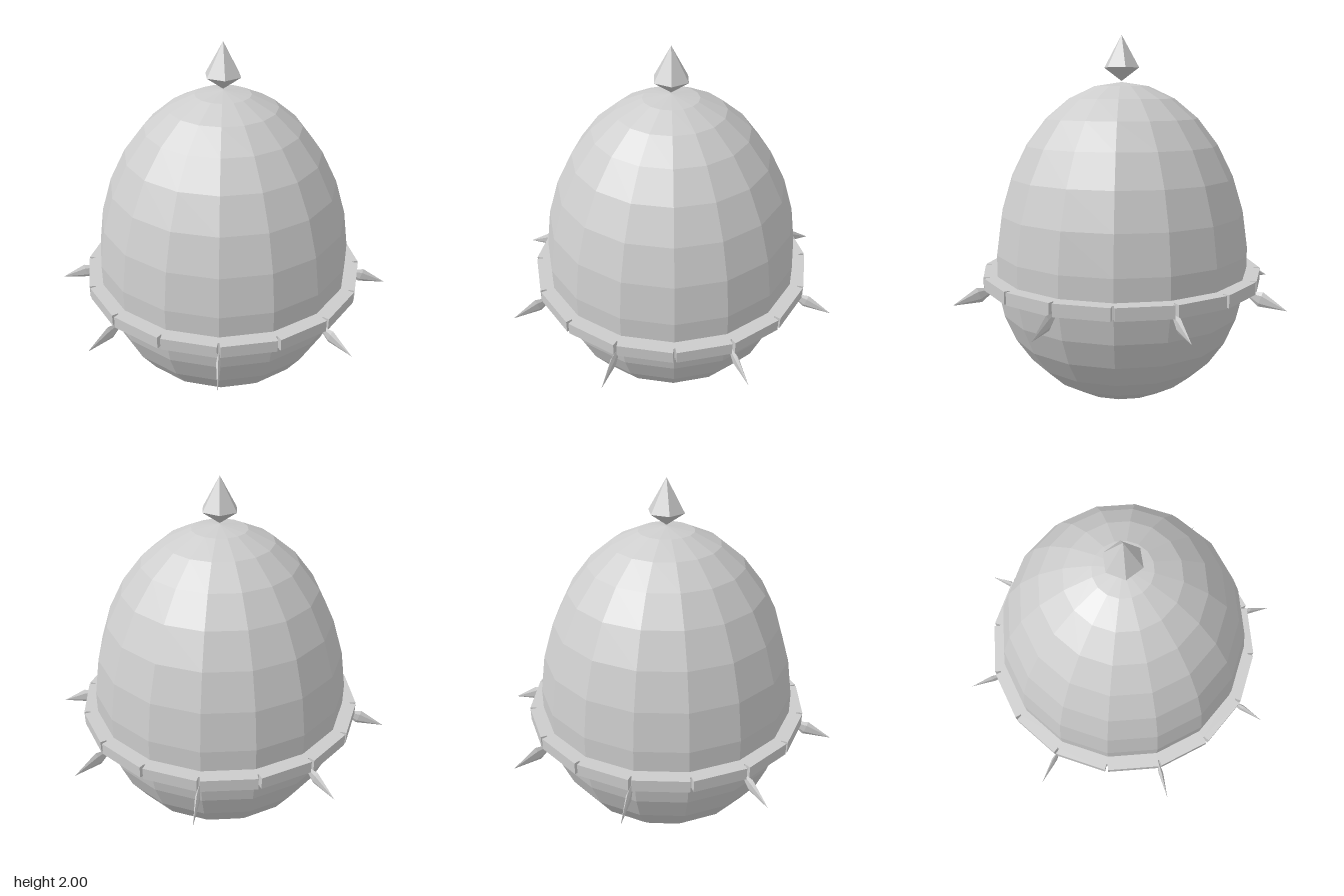
import * as THREE from 'three';

const SIDES = 16;

function lathe(points, sides, phi = 0) {
  return new THREE.LatheGeometry(points.map(([r, y]) => new THREE.Vector2(r, y)), sides, phi);
}

// Double-ended six-sided point standing on y = 0
function bipyramid(radius, waist, length) {
  return lathe([[0, 0], [radius, waist], [0, length]], 6, Math.PI / 2);
}

function polar(r, a) {
  return new THREE.Vector2(r * Math.cos(a), r * Math.sin(a));
}

export function createModel() {
  const model = new THREE.Group();
  const grey = new THREE.MeshStandardMaterial({ color: 0xcccccc, flatShading: true });
  grey.name = 'light grey';

  const add = (geometry, name) => {
    const mesh = new THREE.Mesh(geometry, grey);
    mesh.name = name;
    model.add(mesh);
    return mesh;
  };

  // Egg body: half ellipses above and below the widest point
  const step = Math.PI / 15;
  const profile = [[0, 0.003]];
  for (let i = 2; i <= 15; i++) {
    const a = i * step;
    const c = -Math.cos(a);
    profile.push([i === 15 ? 0 : 0.7 * Math.sin(a), 0.75 + c * (c < 0 ? 0.745 : 1.005)]);
  }
  add(lathe(profile, SIDES), 'eggBody');

  // Band with a narrow slit at every corner
  const outline = [];
  const inner = [];
  for (let i = 0; i < SIDES; i++) {
    const a = (i / SIDES) * Math.PI * 2;
    outline.push(polar(0.77, a - 0.011), polar(0.737, a - 0.005), polar(0.737, a + 0.005), polar(0.77, a + 0.011));
    inner.push(polar(0.69, a));
  }
  const bandShape = new THREE.Shape(outline);
  bandShape.holes.push(new THREE.Path(inner));
  const band = new THREE.ExtrudeGeometry(bandShape, { depth: 0.066, bevelEnabled: false });
  band.rotateX(-Math.PI / 2);
  band.translate(0, 0.673, 0);
  add(band, 'band');

  // Eight flat blades pointing out and slightly down
  const blade = bipyramid(0.042, 0.1, 0.247);
  blade.scale(1, 1, 0.3);
  blade.rotateZ(-(Math.PI / 2 + 0.31));
  blade.translate(0.7, 0.68, 0);
  for (let i = 0; i < 8; i++) {
    add(blade, 'blade').rotation.y = Math.PI / 8 + (i * Math.PI) / 4;
  }

  // Pointed finial on top
  add(bipyramid(0.098, 0.07, 0.24), 'finial').position.y = 1.76;

  return model;
}
